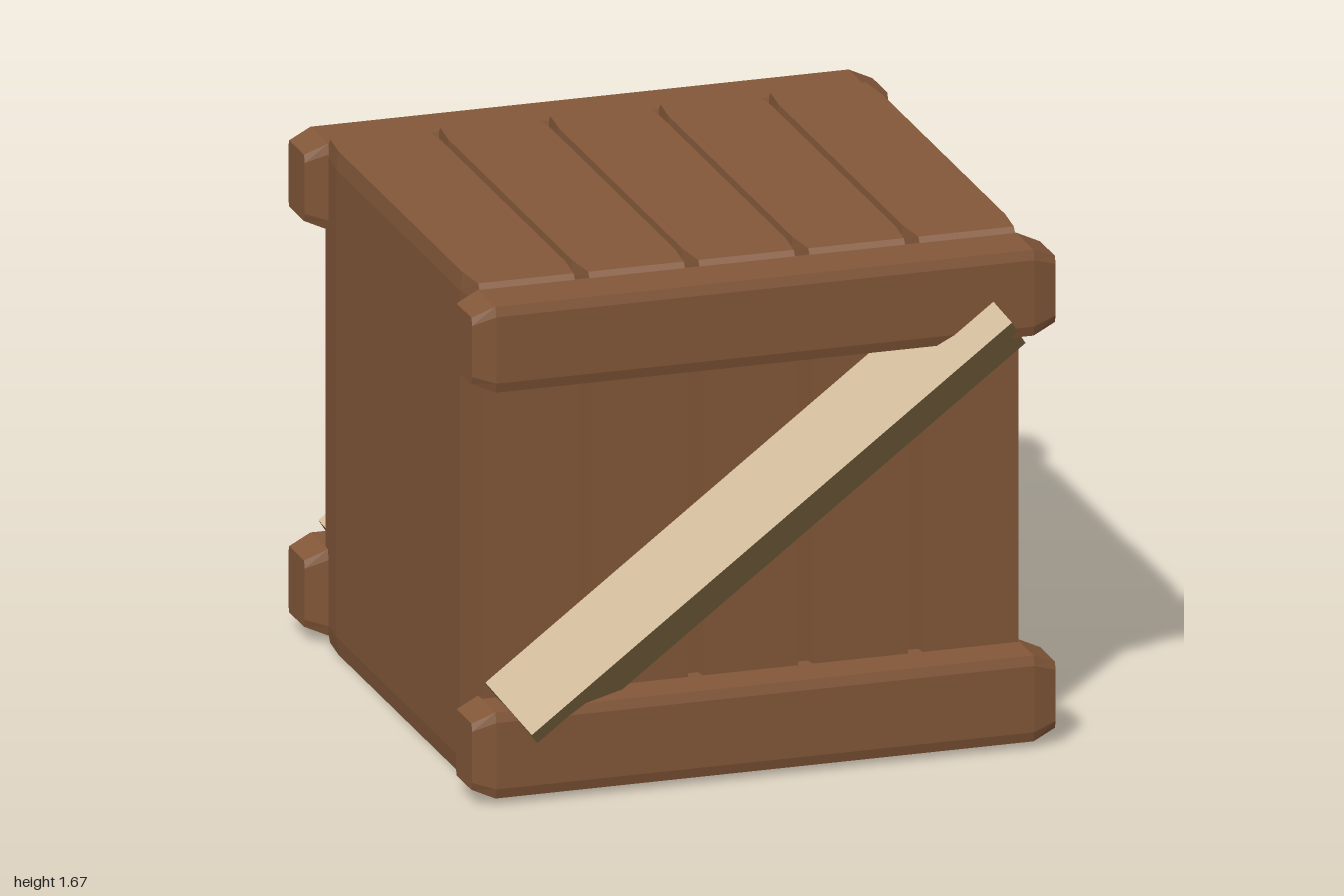
import * as THREE from 'three';

// Unit block whose grid points are placed by a rule; yields flat chamfered timber
function timber(segments, rule) {
  const geo = new THREE.BoxGeometry(2, 2, 2, ...segments);
  const p = geo.attributes.position;
  for (let i = 0; i < p.count; i++) {
    const c = [p.getX(i), p.getY(i), p.getZ(i)];
    const outer = c.map((v) => Math.abs(v) > 0.9);
    const half = rule(...outer);
    p.setXYZ(i, ...c.map((v, k) => Math.sign(v) * half[k]));
  }
  const flat = geo.toNonIndexed();
  flat.computeVertexNormals();
  return flat;
}

export function createModel() {
  const model = new THREE.Group();
  model.name = 'crate';

  const brownWood = new THREE.MeshStandardMaterial({ color: 0x85593a });
  brownWood.name = 'brown wood';
  const paleWood = new THREE.MeshStandardMaterial({ color: 0xac8e5b });
  paleWood.name = 'pale wood';

  const add = (name, geo, mat, x, y, z) => {
    const mesh = new THREE.Mesh(geo, mat);
    mesh.name = name;
    mesh.position.set(x, y, z);
    model.add(mesh);
    return mesh;
  };

  // Five upright slabs, tapered toward front, back, top and bottom
  const slab = timber([1, 3, 3], (ox, endY, endZ) => [
    endZ ? 0.158 : endY ? 0.17 : 0.177,
    endY ? 0.835 : 0.775,
    endZ ? (endY ? 0.74 : 0.785) : 0.62,
  ]);
  for (let i = -2; i <= 2; i++) add('slab', slab, brownWood, i * 0.364, 0.835, 0);

  // Horizontal rails with chamfered ends and edges
  const rail = timber([3, 3, 1], (endX, edgeY) => [
    endX ? 0.965 : 0.89,
    edgeY ? (endX ? 0.11 : 0.1425) : (endX ? 0.085 : 0.11),
    (edgeY ? 0.088 : 0.096) - (endX ? 0.014 : 0),
  ]);

  // Diagonal brace, a square bar turned on edge
  const brace = new THREE.BoxGeometry(1.99, 0.233, 0.233);
  brace.rotateX(Math.PI / 4);
  brace.rotateZ(Math.atan2(1.2, 1.59));

  for (const side of [1, -1]) {
    const face = side > 0 ? 'front' : 'back';
    add(face + 'LowerRail', rail, brownWood, 0, 0.164, side * 0.838);
    add(face + 'UpperRail', rail, brownWood, 0, 1.51, side * 0.838);
    add(face + 'Brace', brace, paleWood, 0, 0.845, side * 0.835);
  }
  return model;
}
